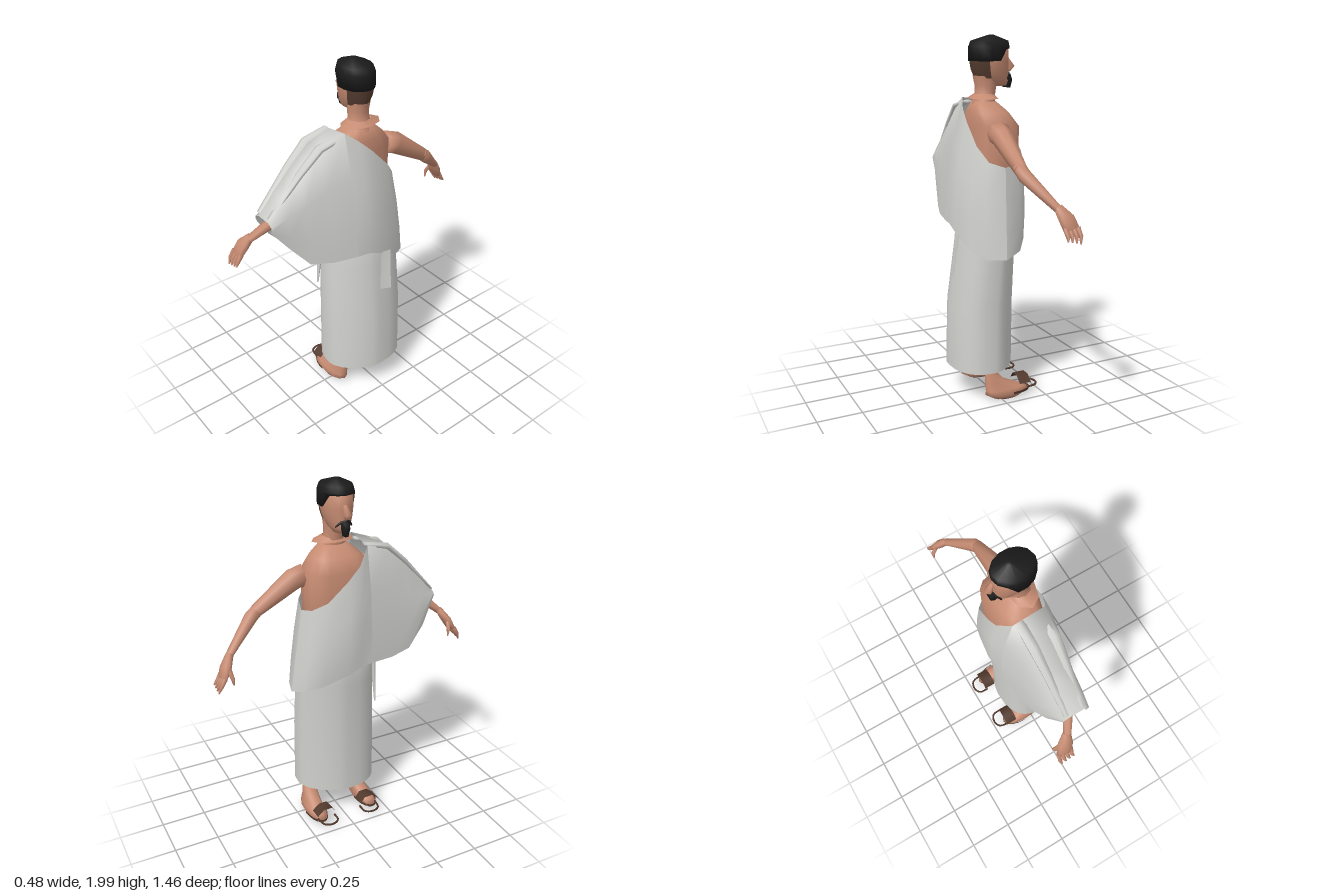
import * as THREE from 'three';

const V = (x, y, z) => new THREE.Vector3(x, y, z);
const material = (name, color) => {
  const m = new THREE.MeshStandardMaterial({ color, side: THREE.DoubleSide });
  m.name = name;
  return m;
};

// Skin a list of point rows; rows may be closed into rings and capped
function loft(rows, closed = true, caps = false) {
  const n = rows[0].length, pos = [], idx = [];
  rows.forEach(r => r.forEach(p => pos.push(p.x, p.y, p.z)));
  for (let i = 0; i < rows.length - 1; i++)
    for (let j = 0; j < (closed ? n : n - 1); j++) {
      const a = i * n + j, b = i * n + (j + 1) % n;
      idx.push(a, a + n, b, b, a + n, b + n);
    }
  if (caps) [0, rows.length - 1].forEach((r, end) => {
    const c = pos.length / 3, mid = V(0, 0, 0);
    rows[r].forEach(p => mid.addScaledVector(p, 1 / n));
    pos.push(mid.x, mid.y, mid.z);
    for (let j = 0; j < n; j++) {
      const a = r * n + j, b = r * n + (j + 1) % n;
      end ? idx.push(a, c, b) : idx.push(a, b, c);
    }
  });
  const g = new THREE.BufferGeometry();
  g.setAttribute('position', new THREE.Float32BufferAttribute(pos, 3));
  g.setIndex(idx);
  g.computeVertexNormals();
  return g;
}

// Level oval; power < 1 squares it off, and slim is the power for the
// quarters where x and z have the same sign
function oval([y, cx, cz, rx, rz], n = 12, power = 1, slim = power) {
  return Array.from({ length: n }, (_, i) => {
    const a = Math.PI * 2 * i / n, c = Math.cos(a), s = Math.sin(a);
    const bend = v => Math.sign(v) * Math.abs(v) ** (c * s > 0 ? slim : power);
    return V(cx + rx * bend(c), y, cz + rz * bend(s));
  });
}

// Open part of an oval
const arc = ([y, cx, cz, rx, rz], from, span, n = 10) => Array.from({ length: n + 1 }, (_, i) => {
  const a = from + span * i / n;
  return V(cx + rx * Math.cos(a), y, cz + rz * Math.sin(a));
});

// Tapered limb through [x, y, z, thickness, width along x]
function limb(path, n = 8) {
  const pts = path.map(p => V(p[0], p[1], p[2]));
  return loft(path.map((p, i) => {
    const t = pts[Math.min(i + 1, pts.length - 1)].clone().sub(pts[Math.max(i - 1, 0)]).normalize();
    const u = t.clone().cross(V(1, 0, 0)).normalize(), v = t.clone().cross(u);
    return Array.from({ length: n }, (_, k) => {
      const a = k / n * Math.PI * 2;
      return pts[i].clone().addScaledVector(u, Math.cos(a) * p[3]).addScaledVector(v, Math.sin(a) * p[4]);
    });
  }), true, true);
}

export function createModel() {
  const group = new THREE.Group();
  const skin = material('skin', 0xc68b72), cloth = material('cloth', 0xd0d0cd);
  const black = material('black hair', 0x1b1b1b), crop = material('cropped hair', 0x563d30);
  const leather = material('sandal leather', 0x52392d);
  const add = (name, geo, mat, parent = group) => {
    const m = new THREE.Mesh(geo, mat);
    m.name = name;
    parent.add(m);
    return m;
  };

  // Torso, neck and the loose flap of skin at the collar
  add('torso', loft([[1.655, 0.02, 0, 0.06, 0.07], [1.6, 0, 0, 0.1, 0.135], [1.53, -0.02, 0, 0.125, 0.192],
    [1.35, -0.02, 0, 0.125, 0.185], [1.05, -0.01, 0, 0.12, 0.17]].map(r => oval(r, 16, 0.75)), true, true), skin);
  add('neck', loft([[1.79, 0.012, 0, 0.068, 0.057], [1.74, 0.008, 0, 0.06, 0.054], [1.7, 0.012, 0, 0.056, 0.055],
    [1.64, 0.025, 0, 0.062, 0.073]].map(r => oval(r))), skin);
  add('collar', loft([[1.695, 0.02, 0, 0.055, 0.06], [1.67, 0.025, 0, 0.075, 0.12]].map(r => oval(r, 8))), skin);

  // Head faces -x
  add('head', loft([[1.97, 0, 0, 0.08, 0.065], [1.92, -0.012, 0, 0.11, 0.084], [1.86, -0.015, 0, 0.108, 0.082],
    [1.81, -0.022, 0, 0.102, 0.072], [1.765, -0.038, 0, 0.086, 0.055], [1.735, -0.062, 0, 0.052, 0.035]]
    .map(r => oval(r, 14)), true, true), skin);
  add('nose', limb([[-0.118, 1.88, 0, 0.012, 0.01], [-0.145, 1.835, 0, 0.022, 0.018], [-0.13, 1.815, 0, 0.012, 0.01]], 6), skin);
  // Hairline is high over the brow and drops behind the temples
  const hairline = oval([1.865, -0.012, 0, 0.114, 0.092], 14);
  hairline.forEach(p => { if (p.x < -0.05) p.y = 1.93; });
  add('hair', loft([[2, -0.025, 0, 0.015, 0.015], [1.97, -0.015, 0, 0.105, 0.08], [1.94, -0.012, 0, 0.114, 0.09]]
    .map(r => oval(r, 14)).concat([hairline]), true, true), black);
  add('croppedHair', loft([[1.875, -0.013, 0, 0.111, 0.086], [1.825, -0.018, 0, 0.108, 0.078], [1.775, -0.03, 0, 0.1, 0.064]]
    .map(r => arc(r, -1.25, 2.5)), false), crop);
  add('goatee', limb([[-0.12, 1.797, 0, 0.024, 0.018], [-0.122, 1.765, 0, 0.026, 0.028], [-0.118, 1.725, 0, 0.016, 0.022]], 6), black);
  for (const s of [-1, 1])
    add('moustache', limb([[-0.13, 1.803, 0, 0.006, 0.006], [-0.118, 1.795, s * 0.025, 0.007, 0.007],
      [-0.1, 1.77, s * 0.046, 0.004, 0.004]], 5), black);

  // Arms, hands, feet and sandals, mirrored across z
  for (const s of [-1, 1]) {
    const side = s < 0 ? 'right' : 'left';
    add(side + 'UpperArm', limb([[0.015, 1.5, s * 0.17, 0.065, 0.065], [0.025, 1.485, s * 0.23, 0.06, 0.056],
      [0.03, 1.345, s * 0.44, 0.036, 0.034]]), skin);
    add(side + 'Forearm', limb([[0.032, 1.36, s * 0.42, 0.034, 0.034], [0.025, 1.32, s * 0.47, 0.036, 0.036],
      [-0.07, 1.175, s * 0.635, 0.018, 0.022]]), skin);
    const hand = new THREE.Group();
    hand.name = side + 'Hand';
    group.add(hand);
    add('palm', limb([[-0.07, 1.185, s * 0.63, 0.02, 0.024], [-0.1, 1.13, s * 0.665, 0.024, 0.047],
      [-0.115, 1.08, s * 0.69, 0.016, 0.047]]), skin, hand);
    for (let f = 0; f < 4; f++) {
      const x = -0.15 + f * 0.024;
      add('finger', limb([[x, 1.09, s * 0.687, 0.013, 0.013], [x - 0.004, 1.05, s * 0.712, 0.011, 0.011],
        [x + 0.004, 1.015 + 0.006 * f, s * 0.725, 0.004, 0.004]], 5), skin, hand);
    }
    add('thumb', limb([[-0.125, 1.135, s * 0.66, 0.015, 0.014], [-0.155, 1.085, s * 0.65, 0.011, 0.01],
      [-0.155, 1.05, s * 0.645, 0.004, 0.004]], 5), skin, hand);

    const z = s * 0.15, out = s * 0.162;
    add(side + 'Foot', loft([[0.19, 0.048, z, 0.018, 0.02], [0.165, 0.048, z, 0.03, 0.038], [0.11, 0.025, z, 0.058, 0.042],
      [0.065, -0.03, out, 0.117, 0.048], [0.04, -0.05, out, 0.138, 0.055], [0.014, -0.04, out, 0.085, 0.042]]
      .map(r => oval(r, 12, 0.85)), true, true), skin);
    add(side + 'Sole', loft([[0.014, -0.045, out, 0.085, 0.042], [0.009, -0.045, out, 0.08, 0.04]]
      .map(r => oval(r, 10)), true, true), leather);
    add(side + 'SideStrap', loft([[0.05, -0.06, out, 0.125, 0.059], [0.035, -0.06, out, 0.125, 0.059]]
      .map(r => arc(r, 1.57, 3.14)), false), leather);
    const loop = new THREE.CatmullRomCurve3([V(-0.16, 0.05, s * 0.19), V(-0.225, 0.05, s * 0.175),
      V(-0.24, 0.05, s * 0.13), V(-0.22, 0.05, s * 0.09), V(-0.165, 0.05, s * 0.085)]);
    add(side + 'ToeLoop', new THREE.TubeGeometry(loop, 14, 0.006, 5), leather);
    // Strap arched over the toes
    add(side + 'Strap', loft([-0.18, -0.11].map(x => [V(x, 0.08, s * 0.085), V(x, 0.115, s * 0.11),
      V(x, 0.115, s * 0.16), V(x, 0.08, s * 0.2)]), false), leather);
  }

  // Long skirt, open below
  add('skirt', loft([[1.17, 0, 0, 0.12, 0.175], [1, 0.008, 0, 0.165, 0.212], [0.88, 0.016, 0.003, 0.167, 0.216],
    [0.55, 0.042, 0.012, 0.184, 0.226], [0.185, 0.048, 0.015, 0.188, 0.23]].map(r => oval(r, 24, 0.78, 1.2))), cloth);
  // Tucked fold on the left hip
  add('skirtFold', limb([[-0.05, 1.14, 0.185, 0.015, 0.04], [-0.06, 0.98, 0.208, 0.014, 0.025],
    [-0.08, 0.7, 0.22, 0.004, 0.006]], 6), cloth);

  // Cloak stations along z: front top, front hem, back top, back hem as x, y
  const stations = [
    [0.59, -0.04, 1.31, -0.06, 1.27, 0.05, 1.31, 0.06, 1.26],
    [0.5, -0.06, 1.41, -0.11, 1.13, 0.05, 1.42, 0.095, 1.14],
    [0.4, -0.065, 1.51, -0.135, 1.02, 0.05, 1.52, 0.125, 1.02],
    [0.28, -0.075, 1.615, -0.155, 1.0, 0.055, 1.625, 0.165, 1.0],
    [0.14, -0.1, 1.645, -0.17, 1.0, 0.08, 1.67, 0.19, 0.99],
    [0.07, -0.15, 1.56, -0.175, 0.99, 0.11, 1.615, 0.195, 0.985],
    [0, -0.155, 1.49, -0.175, 0.96, 0.12, 1.55, 0.195, 0.955],
    [-0.13, -0.15, 1.39, -0.15, 0.91, 0.115, 1.43, 0.175, 0.885],
    [-0.205, -0.09, 1.34, -0.085, 0.87, 0.075, 1.35, 0.11, 0.84],
    [-0.232, -0.01, 1.32, 0.01, 0.835, -0.01, 1.32, 0.01, 0.835],
  ];
  // Points from top edge to hem, bellied outwards and flaring on the right
  const drop = ([z, ...p], k, dir) => [0, 0.35, 0.7, 1].map(t => {
    const belly = Math.sin(t * Math.PI) * (z < -0.22 ? 0 : z < -0.1 ? 0.015 : 0.025) * dir;
    return V(p[k] + (p[k + 2] - p[k]) * t + belly, p[k + 1] + (p[k + 3] - p[k + 1]) * t, z < 0 ? z * (0.87 + 0.26 * t) : z);
  });
  const front = st => drop(st, 0, -1), back = st => drop(st, 4, 1);
  add('cloakOverArm', loft(stations.slice(0, 5).map(st => [...front(st).reverse(), ...back(st)]), false), cloth);
  add('cloakFront', loft(stations.slice(4).map(st => front(st).reverse()), false), cloth);
  add('cloakBack', loft(stations.slice(4).map(back), false), cloth);
  // Broad pleats gathered over the shoulder and along the arm
  for (const x of [-0.065, 0.05])
    add('shoulderPleat', limb([[x, 1.645, 0.14, 0.012, 0.03], [x, 1.615, 0.275, 0.018, 0.03],
      [x * 0.9, 1.51, 0.395, 0.016, 0.024], [x * 0.8, 1.32, 0.58, 0.006, 0.014]], 6), cloth);
  // Loose end hanging behind
  add('cloakTail', loft([[V(0.19, 0.95, -0.02), V(0.2, 0.95, -0.075)], [V(0.212, 0.72, 0), V(0.232, 0.715, -0.06)]], false), cloth);

  return group;
}
